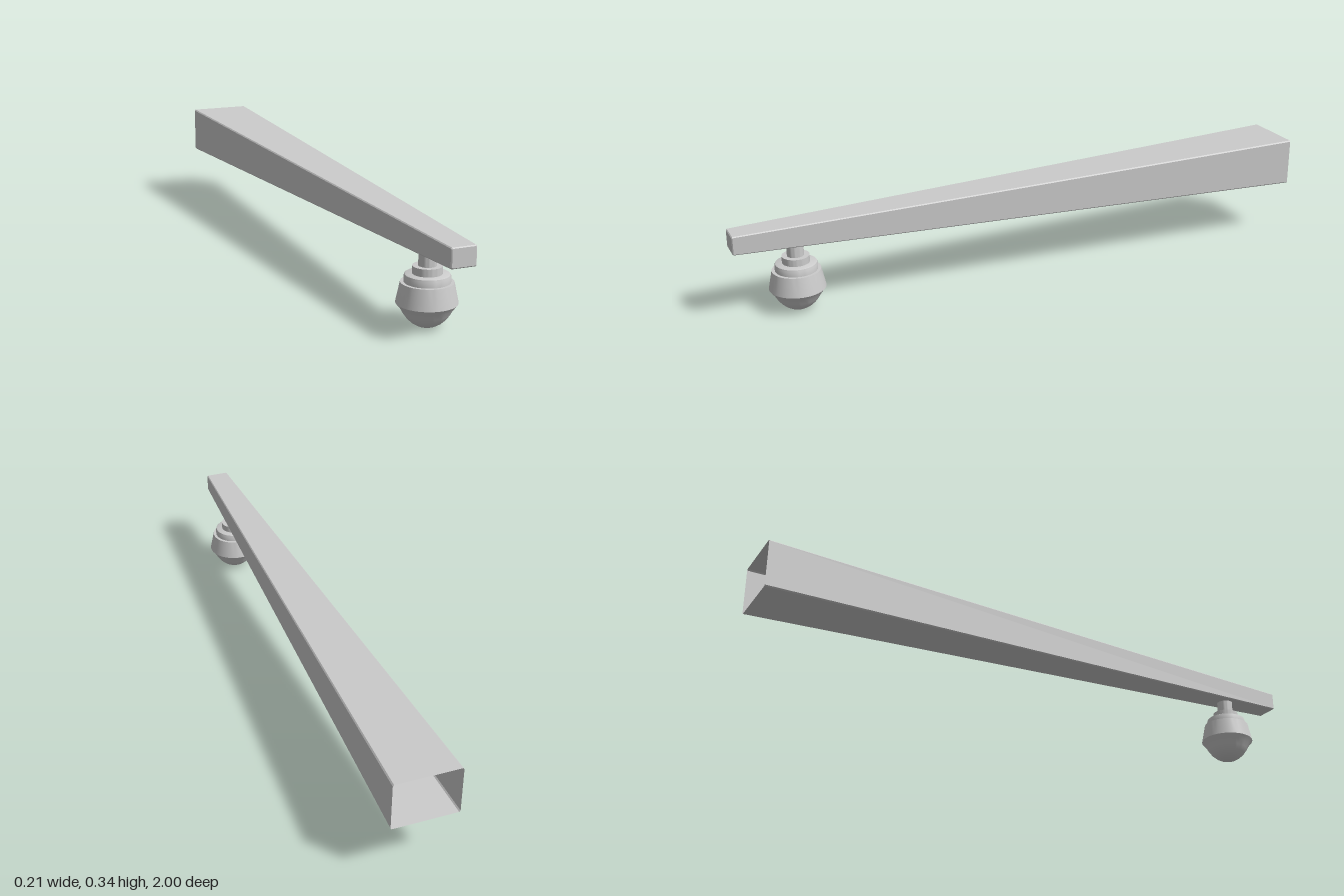
import * as THREE from 'three';
import { toCreasedNormals } from 'three/addons/utils/BufferGeometryUtils.js';

const grey = new THREE.MeshStandardMaterial({ color: 0xcccccc });
const greyOpen = new THREE.MeshStandardMaterial({ color: 0xcccccc, side: THREE.DoubleSide, flatShading: true });

// Rectangle with small cut corners, counter-clockwise seen from the front
function section(z, halfWidth, bottom, top, cut) {
  const w = halfWidth;
  return [
    [w, bottom + cut], [w, top - cut], [w - cut, top], [-w + cut, top],
    [-w, top - cut], [-w, bottom + cut], [-w + cut, bottom], [w - cut, bottom],
  ].map(([x, y]) => [x, y, z]);
}

// Skin through the sections, open at the first and capped at the last
function loft(sections) {
  const n = sections[0].length;
  const index = [];
  for (let i = 0; i < sections.length - 1; i++) {
    for (let j = 0; j < n; j++) {
      const a = i * n + j, b = i * n + (j + 1) % n;
      index.push(a, b, b + n, a, b + n, a + n);
    }
  }
  const last = (sections.length - 1) * n;
  for (let j = 1; j < n - 1; j++) index.push(last, last + j, last + j + 1);
  const geometry = new THREE.BufferGeometry();
  geometry.setAttribute('position', new THREE.Float32BufferAttribute(sections.flat(2), 3));
  geometry.setIndex(index);
  const flat = geometry.toNonIndexed();
  flat.computeVertexNormals();
  return flat;
}

function turned(name, profile) {
  const points = profile.map(([r, y]) => new THREE.Vector2(r, y));
  const mesh = new THREE.Mesh(toCreasedNormals(new THREE.LatheGeometry(points, 48), 0.5), grey);
  mesh.name = name;
  return mesh;
}

export function createModel() {
  const model = new THREE.Group();
  model.name = 'boomWithPod';

  // Hollow tapering boom, open at the back
  const boom = new THREE.Mesh(loft([
    section(-1, 0.107, 0.183, 0.344, 0.004),
    section(0.997, 0.04, 0.233, 0.294, 0.003),
    section(1, 0.037, 0.236, 0.291, 0.002),
  ]), greyOpen);
  boom.name = 'boom';
  model.add(boom);

  // Pod hanging under the front end
  const pod = new THREE.Group();
  pod.name = 'pod';
  pod.position.set(-0.001, 0, 0.797);
  pod.add(
    turned('podBody', [
      [0, 0.001], [0.015, 0.002], [0.03, 0.006], [0.045, 0.015], [0.058, 0.027],
      [0.069, 0.042], [0.078, 0.058], [0.088, 0.07], [0.091, 0.074], [0.09, 0.079],
      [0.078, 0.136], [0, 0.136],
    ]),
    turned('podCollar', [[0.068, 0.13], [0.068, 0.154], [0.066, 0.159], [0.062, 0.161], [0, 0.161]]),
    turned('podFlange', [[0.044, 0.155], [0.044, 0.184], [0, 0.184]]),
    turned('podNeck', [[0.027, 0.18], [0.027, 0.235], [0, 0.235]]),
  );
  model.add(pod);
  return model;
}
